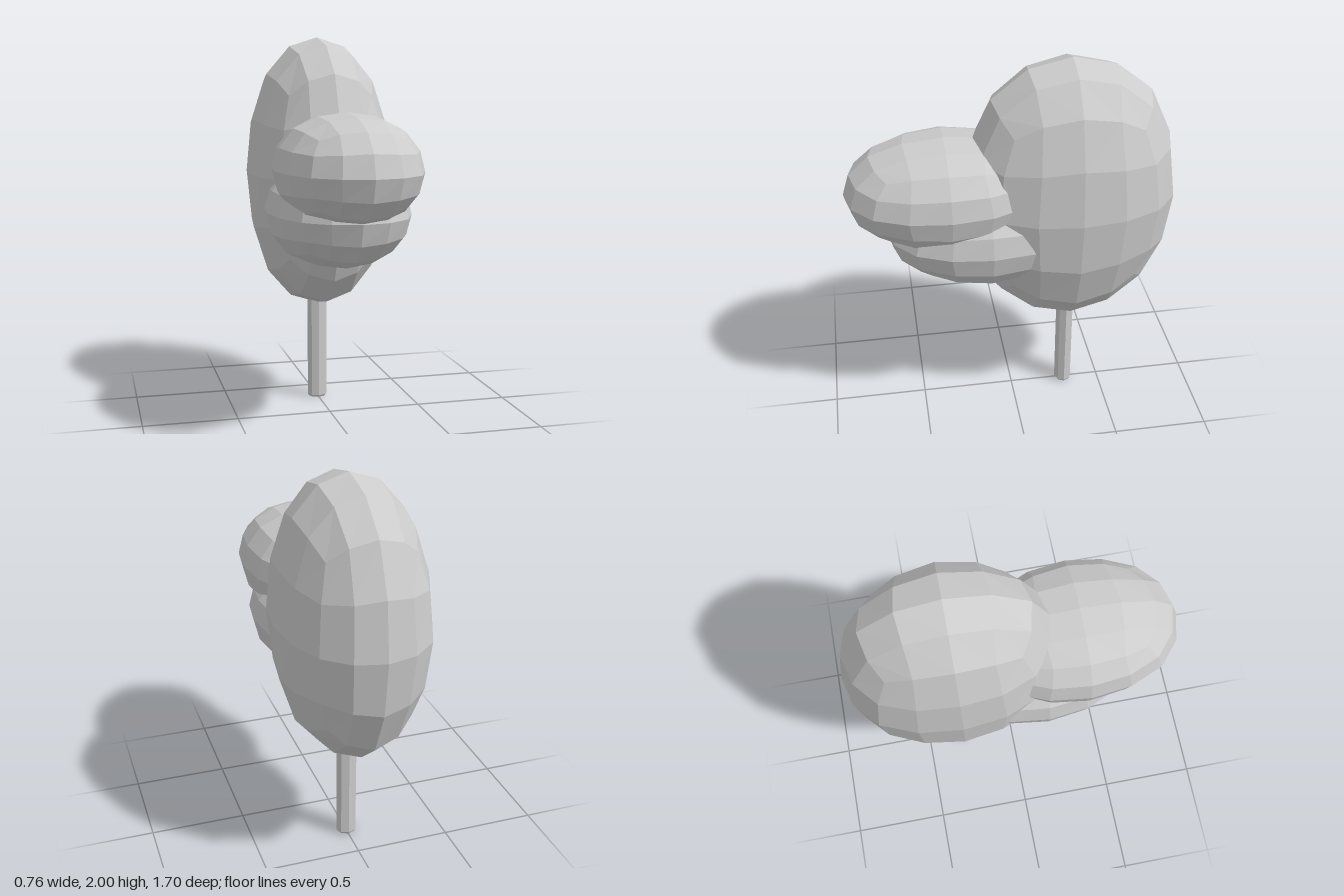
import * as THREE from 'three';

const material = new THREE.MeshStandardMaterial({ color: 0xcccccc, flatShading: true });

// Rounded position for each kind of point on a 4 x 4 x 4 cube,
// keyed by the number of its coordinates at the face (1) and halfway (0.5).
// Each entry: [value for face coordinates, value for halfway coordinates]
const ROUNDED = {
  '1,0': [1, 0],
  '1,1': [0.933, 0.399],
  '1,2': [0.870, 0.371],
  '2,0': [0.732, 0],
  '2,1': [0.682, 0.344],
  '3,0': [0.580, 0],
};

// Cube smoothed into a low-poly ball, then stretched to the given radii
function roundedCube(rx, ry, rz) {
  const geometry = new THREE.BoxGeometry(2, 2, 2, 4, 4, 4);
  const p = geometry.attributes.position;
  for (let i = 0; i < p.count; i++) {
    const c = [p.getX(i), p.getY(i), p.getZ(i)];
    const ones = c.filter((v) => Math.abs(v) > 0.75).length;
    const halves = c.filter((v) => Math.abs(v) > 0.25).length - ones;
    const [face, half] = ROUNDED[`${ones},${halves}`];
    const [x, y, z] = c.map((v) => {
      const a = Math.abs(v);
      return a < 0.25 ? 0 : Math.sign(v) * (a > 0.75 ? face : half);
    });
    p.setXYZ(i, x * rx, y * ry, z * rz);
  }
  geometry.computeVertexNormals();
  return geometry;
}

export function createModel() {
  const group = new THREE.Group();
  const add = (name, geometry, x, y, z) => {
    const mesh = new THREE.Mesh(geometry, material);
    mesh.name = name;
    mesh.position.set(x, y, z);
    group.add(mesh);
    return mesh;
  };

  // Tall flattened head
  add('head', roundedCube(0.38, 0.73, 0.55), 0, 1.27, -0.3);

  // Bill: two overlapping lobes, the upper one further forward
  add('upperBill', roundedCube(0.36, 0.28, 0.51), 0, 1.34, 0.338);
  add('lowerBill', roundedCube(0.36, 0.28, 0.51), 0, 1.11, 0.14);

  // Eight-sided stick with a slightly bevelled foot
  const profile = [[0, 0], [0.85, 0], [1, 0.012], [1, 0.8], [0, 0.8]]
    .map(([r, y]) => new THREE.Vector2(r, y));
  const stick = add('stick', new THREE.LatheGeometry(profile, 8), 0, 0, -0.3);
  stick.scale.set(0.055, 1, 0.047);

  return group;
}
